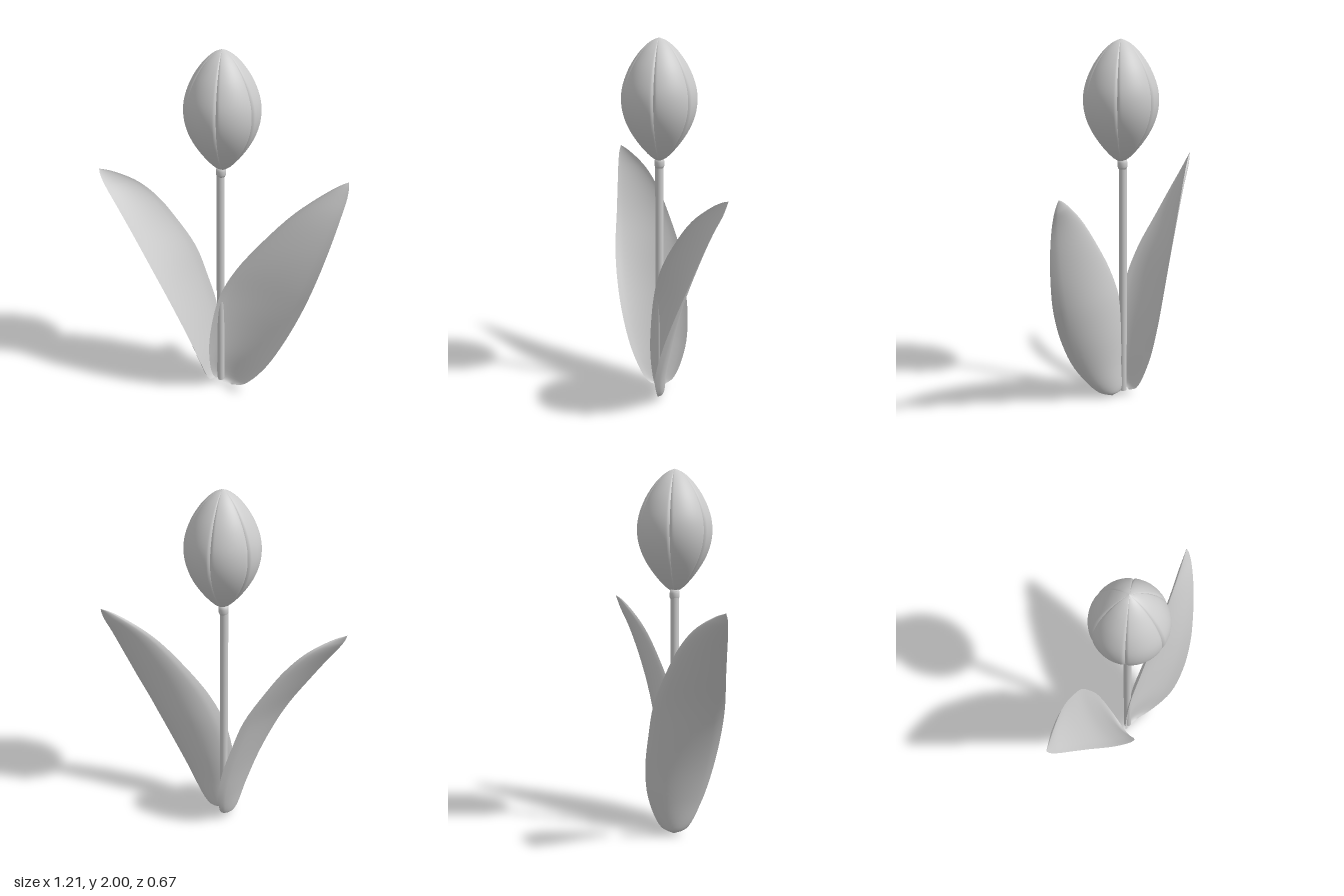
import * as THREE from 'three';

const clay = new THREE.MeshStandardMaterial({ color: 0xcccccc });
clay.name = 'light grey';

function addMesh(parent, name, geometry) {
  const mesh = new THREE.Mesh(geometry, clay);
  mesh.name = name;
  parent.add(mesh);
  return mesh;
}

const toCurve = (pts) => new THREE.CatmullRomCurve3(pts.map((p) => new THREE.Vector3(...p)));

// Leaf lofted between two edge curves, with an outer and an inner skin;
// its cupping fades from the base to the tip
function leafGeometry(edgeA, edgeB, cupBase, cupTip, thickness) {
  const rows = 60, cols = 16, ring = 2 * (cols + 1);
  const a = toCurve(edgeA), b = toCurve(edgeB);
  const positions = [], index = [];
  for (let j = 0; j <= rows; j++) {
    const t = (1 - Math.cos((Math.PI * j) / rows)) / 2;
    const pa = a.getPoint(t), pb = b.getPoint(t);
    const across = pb.clone().sub(pa);
    const width = across.length();
    const out = new THREE.Vector3(across.z, 0, -across.x).normalize();
    const cup = THREE.MathUtils.lerp(cupBase, cupTip, THREE.MathUtils.smoothstep(t, 0.15, 0.75));
    for (let i = 0; i < ring; i++) {
      const inner = i > cols;
      const u = (inner ? ring - 1 - i : i) / cols;
      const bulge = Math.pow(4 * u * (1 - u), 0.8);
      const skin = inner ? 0 : Math.min(thickness, width * 0.1) * Math.sqrt(bulge);
      const p = pa.clone().addScaledVector(across, u);
      p.addScaledVector(out, bulge * cup * width + skin);
      positions.push(p.x, Math.max(p.y, 0), p.z);
    }
  }
  for (let j = 0; j < rows; j++) {
    for (let i = 0; i < ring - 1; i++) {
      if (i === cols) continue;
      const p = j * ring + i, q = p + ring;
      index.push(p, q, p + 1, p + 1, q, q + 1);
    }
  }
  const geometry = new THREE.BufferGeometry();
  geometry.setAttribute('position', new THREE.Float32BufferAttribute(positions, 3));
  geometry.setIndex(index);
  geometry.computeVertexNormals();
  return geometry;
}

// One sixth of the bud, its side edges rolled inward to leave a fine seam
function petalGeometry(profile, start) {
  const segments = 24, span = Math.PI / 3;
  const geometry = new THREE.LatheGeometry(profile, segments, start, span);
  const pos = geometry.attributes.position;
  const rows = profile.length;
  for (let k = 0; k < pos.count; k++) {
    const s = Math.abs((2 * Math.floor(k / rows)) / segments - 1);
    const f = 1.005 - 0.01 * s * s - 0.04 * Math.pow(s, 24);
    pos.setX(k, pos.getX(k) * f);
    pos.setZ(k, pos.getZ(k) * f);
  }
  geometry.computeVertexNormals();
  return geometry;
}

export function createModel() {
  const model = new THREE.Group();
  model.name = 'tulip';

  // Stem with the small collar under the bud
  const stem = addMesh(model, 'stem', new THREE.CylinderGeometry(0.022, 0.022, 1.33, 24));
  stem.position.set(-0.03, 0.685, 0.003);
  const collarProfile = [[0, 1.305], [0.022, 1.307], [0.027, 1.32], [0.027, 1.34], [0.024, 1.36], [0, 1.365]]
    .map(([r, y]) => new THREE.Vector2(r, y));
  const collar = addMesh(model, 'collar', new THREE.LatheGeometry(collarProfile, 24));
  collar.position.set(-0.027, 0, 0.005);

  // Closed bud of six petals
  const bud = new THREE.Group();
  bud.name = 'bud';
  bud.position.set(-0.022, 0, 0.012);
  model.add(bud);
  const profile = new THREE.SplineCurve([
    [0.012, 1.35], [0.05, 1.375], [0.108, 1.44], [0.16, 1.52], [0.191, 1.6], [0.201, 1.68],
    [0.19, 1.76], [0.154, 1.85], [0.1, 1.93], [0.046, 1.98], [0.002, 2.0],
  ].map(([r, y]) => new THREE.Vector2(r, y))).getPoints(40);
  for (let k = 0; k < 6; k++) {
    addMesh(bud, 'petal', petalGeometry(profile, Math.PI / 6 + (k * Math.PI) / 3));
  }

  // Leaf sweeping to +x and forward
  addMesh(model, 'leftLeaf', leafGeometry(
    [[0.015, 0, 0.06], [-0.07, 0.04, 0.005], [-0.1, 0.2, 0], [-0.088, 0.39, 0.008], [-0.045, 0.59, 0.03],
      [0.035, 0.76, 0.07], [0.17, 0.94, 0.125], [0.325, 1.105, 0.18], [0.485, 1.22, 0.225],
      [0.565, 1.262, 0.243], [0.605, 1.275, 0.25]],
    [[0.015, 0, 0.06], [0.06, 0.035, 0.13], [0.14, 0.2, 0.25], [0.235, 0.4, 0.312], [0.33, 0.6, 0.335],
      [0.407, 0.77, 0.333], [0.483, 0.95, 0.32], [0.545, 1.1, 0.3], [0.588, 1.2, 0.278],
      [0.602, 1.25, 0.262], [0.605, 1.275, 0.25]],
    0.2, 0.06, 0.012));

  // Leaf sweeping to -x and backward
  addMesh(model, 'rightLeaf', leafGeometry(
    [[-0.05, 0.01, -0.03], [-0.105, 0.04, 0.015], [-0.175, 0.2, 0.06], [-0.252, 0.4, 0.058], [-0.332, 0.6, 0.015],
      [-0.402, 0.77, -0.05], [-0.475, 0.95, -0.148], [-0.538, 1.1, -0.23], [-0.585, 1.21, -0.292],
      [-0.603, 1.267, -0.322], [-0.605, 1.3, -0.338]],
    [[-0.05, 0.01, -0.03], [0, 0.05, -0.08], [0.033, 0.22, -0.15], [0.02, 0.4, -0.192], [-0.03, 0.6, -0.225],
      [-0.088, 0.78, -0.252], [-0.195, 0.965, -0.28], [-0.29, 1.1, -0.3], [-0.4, 1.205, -0.316],
      [-0.535, 1.278, -0.33], [-0.605, 1.3, -0.338]],
    0.13, 0.05, 0.012));

  return model;
}
